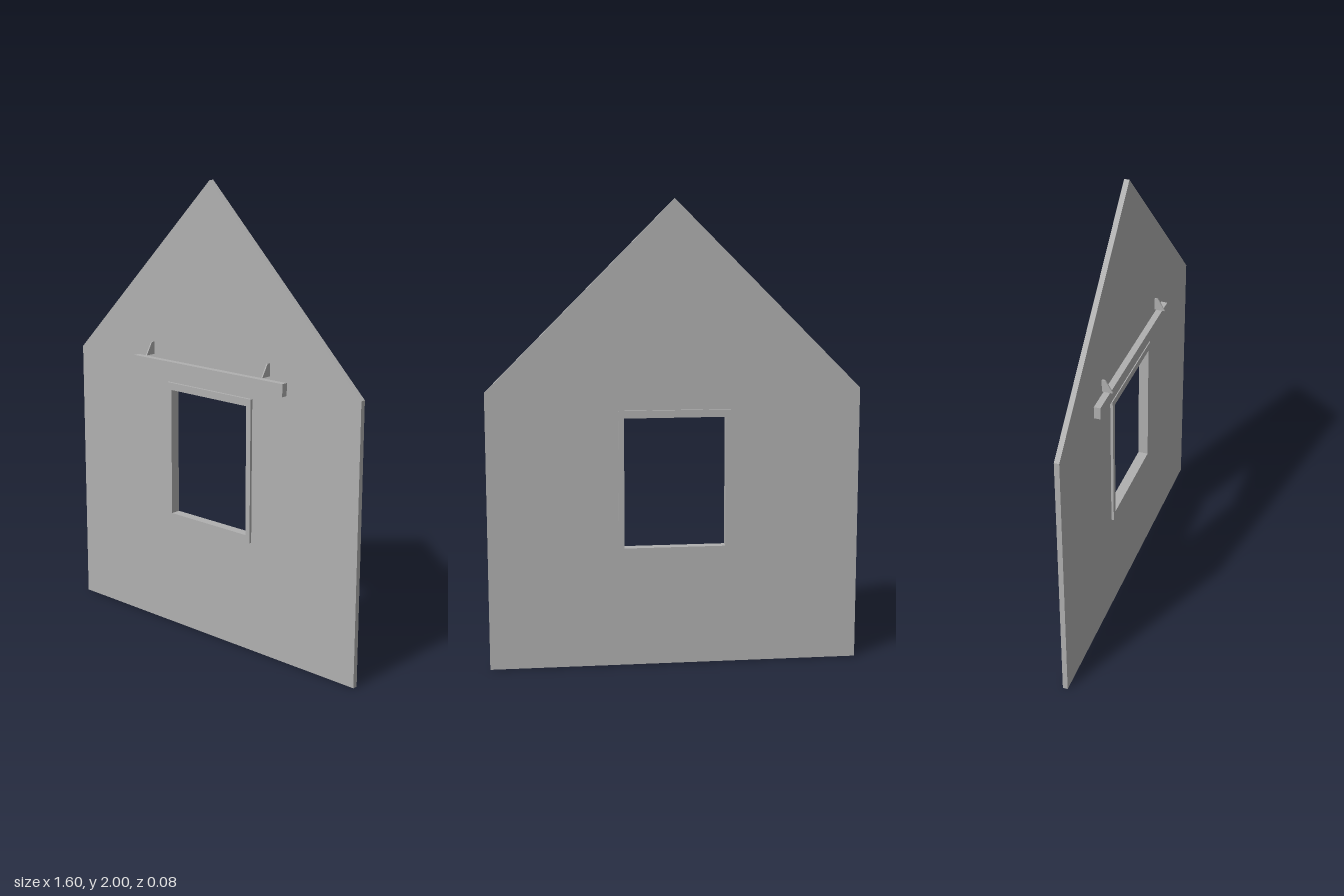
import * as THREE from 'three';

export function createModel() {
  const group = new THREE.Group();
  const grey = new THREE.MeshStandardMaterial({ color: 0xb0b0b0 });
  grey.name = 'plain grey';

  const add = (geometry, name) => {
    const mesh = new THREE.Mesh(geometry, grey);
    mesh.name = name;
    group.add(mesh);
    return mesh;
  };
  const rectangle = (C, w, y0, y1) => new C([
    new THREE.Vector2(-w, y0), new THREE.Vector2(w, y0),
    new THREE.Vector2(w, y1), new THREE.Vector2(-w, y1),
  ]);
  // Extrude a shape from z0 to z1
  const slab = (shape, z0, z1) =>
    new THREE.ExtrudeGeometry(shape, { depth: z1 - z0, bevelEnabled: false }).translate(0, 0, z0);

  const wallFront = -0.007;

  // Gable wall with a window opening
  const wall = new THREE.Shape([
    [-0.8, 0], [0.8, 0], [0.8, 1.2], [0, 2], [-0.8, 1.2],
  ].map(([x, y]) => new THREE.Vector2(x, y)));
  wall.holes.push(rectangle(THREE.Path, 0.222, 0.518, 1.089));
  add(slab(wall, -0.029, wallFront), 'gableWall');

  // Window frame, standing proud on both sides of the wall
  const frame = rectangle(THREE.Shape, 0.242, 0.49, 1.117);
  frame.holes.push(rectangle(THREE.Path, 0.218, 0.522, 1.085));
  add(slab(frame, -0.04, 0.004), 'windowFrame');

  // Rail above the window
  const rail = add(new THREE.BoxGeometry(0.856, 0.054, 0.028), 'rail');
  rail.position.set(-0.002, 1.187, wallFront + 0.014);

  // Thin tapered brackets, profile drawn as (z, y) and turned sideways
  const profile = new THREE.Shape([
    [wallFront, 1.228], [0.04, 1.228], [0.008, 1.283], [wallFront, 1.283],
  ].map(([z, y]) => new THREE.Vector2(z, y)));
  for (const [x, name] of [[-0.334, 'rightBracket'], [0.333, 'leftBracket']]) {
    const bracket = add(slab(profile, -0.003, 0.003).rotateY(-Math.PI / 2), name);
    bracket.position.x = x;
  }

  return group;
}
